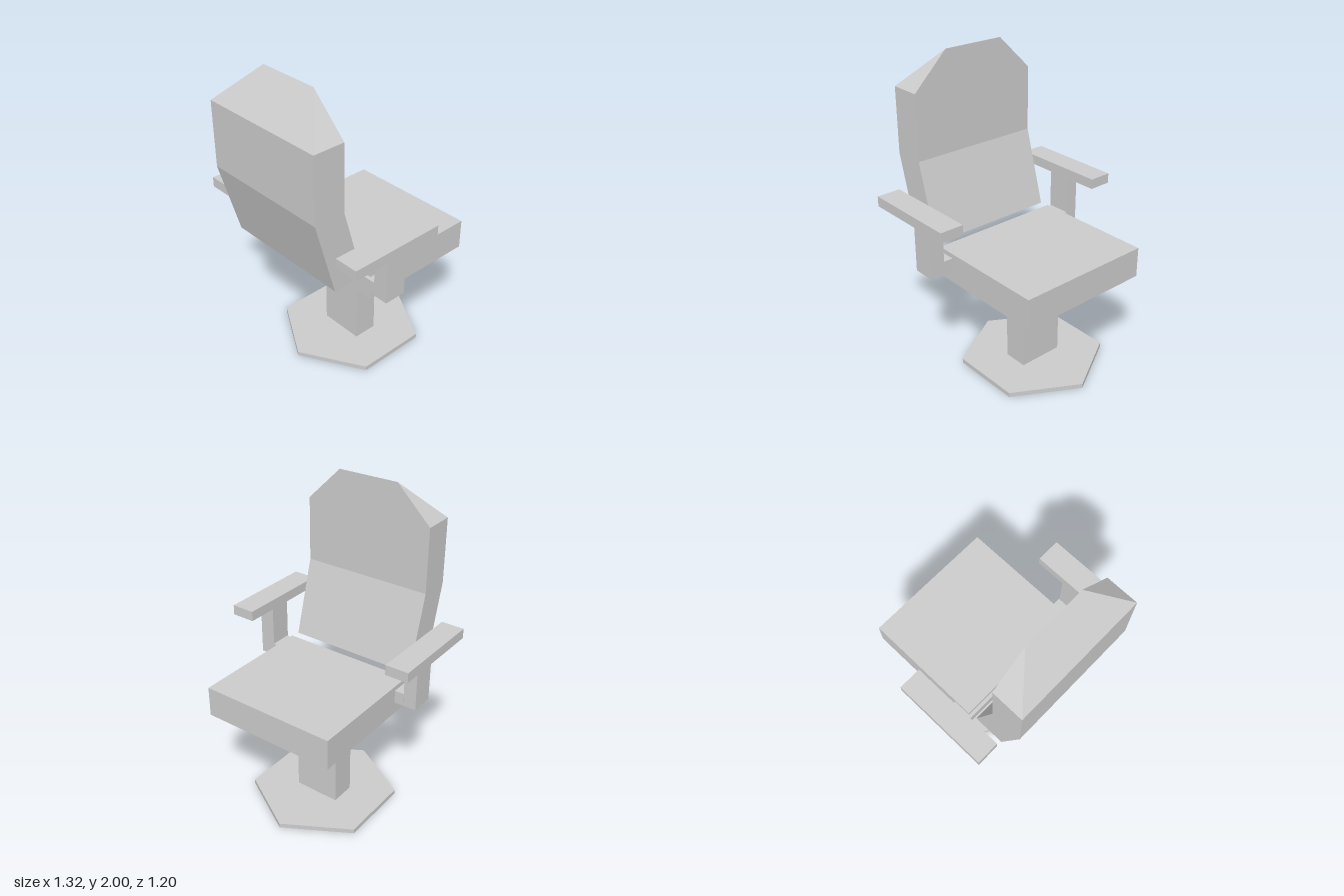
import * as THREE from 'three';

const material = new THREE.MeshStandardMaterial({ color: 0xcccccc, flatShading: true, side: THREE.DoubleSide });

// Box given by its limits on each axis
function box(name, [x0, x1], [y0, y1], [z0, z1]) {
  const mesh = new THREE.Mesh(new THREE.BoxGeometry(x1 - x0, y1 - y0, z1 - z0), material);
  mesh.position.set((x0 + x1) / 2, (y0 + y1) / 2, (z0 + z1) / 2);
  mesh.name = name;
  return mesh;
}

// Solid through four-cornered horizontal sections, from the bottom up
function loft(sections) {
  const positions = [];
  const rings = sections.map(({ y, x0, x1, z0, z1 }) =>
    [[x0, y, z1], [x1, y, z1], [x1, y, z0], [x0, y, z0]]);
  const quad = (a, b, c, d) => positions.push(...a, ...b, ...c, ...a, ...c, ...d);
  for (let i = 0; i < rings.length - 1; i++) {
    for (let k = 0; k < 4; k++) {
      const n = (k + 1) % 4;
      quad(rings[i][k], rings[i][n], rings[i + 1][n], rings[i + 1][k]);
    }
  }
  quad(...[...rings[0]].reverse());
  const geometry = new THREE.BufferGeometry();
  geometry.setAttribute('position', new THREE.Float32BufferAttribute(positions, 3));
  geometry.computeVertexNormals();
  return geometry;
}

export function createModel() {
  const chair = new THREE.Group();
  chair.name = 'swivelChair';

  // Hexagonal foot plate, with a rectangular opening under the hollow column
  const plate = new THREE.Shape();
  for (let i = 0; i < 6; i++) {
    const a = Math.PI / 2 + (i * Math.PI) / 3;
    const x = -0.05 + 0.465 * Math.cos(a), y = 0.1 + 0.465 * Math.sin(a);
    if (i === 0) plate.moveTo(x, y);
    else plate.lineTo(x, y);
  }
  plate.closePath();
  const opening = [[-0.2, 0.02], [-0.2, 0.18], [0.1, 0.18], [0.1, 0.02]];
  plate.holes.push(new THREE.Path(opening.map(([x, y]) => new THREE.Vector2(x, y))));
  const baseGeometry = new THREE.ExtrudeGeometry(plate, { depth: 0.03, bevelEnabled: false });
  baseGeometry.rotateX(-Math.PI / 2);
  const base = new THREE.Mesh(baseGeometry, material);
  base.name = 'base';
  chair.add(base);

  // Hollow rectangular column
  const columnGeometry = new THREE.CylinderGeometry(Math.SQRT1_2, Math.SQRT1_2, 1, 4, 1, true);
  columnGeometry.rotateY(Math.PI / 4).scale(0.3, 0.64, 0.16);
  const column = new THREE.Mesh(columnGeometry, material);
  column.position.set(-0.05, 0.35, -0.1);
  column.name = 'column';
  chair.add(column);

  chair.add(box('seat', [-0.45, 0.44], [0.67, 0.865], [-0.6, 0.2]));

  // Backrest: leaning lower half, upright upper half, wedge-shaped top
  const backrest = new THREE.Mesh(loft([
    { y: 0.865, x0: -0.44, x1: 0.43, z0: 0.255, z1: 0.465 },
    { y: 1.355, x0: -0.44, x1: 0.43, z0: 0.395, z1: 0.6 },
    { y: 1.775, x0: -0.44, x1: 0.43, z0: 0.395, z1: 0.6 },
    { y: 2, x0: -0.21, x1: 0.2, z0: 0.395, z1: 0.395 },
  ]), material);
  backrest.name = 'backrest';
  chair.add(backrest);

  // Arm frame: crossbar through the seat, two uprights and pads
  chair.add(
    box('armCrossbar', [-0.51, 0.5], [0.75, 0.835], [0.08, 0.223]),
    box('leftArmUpright', [0.5, 0.6], [0.75, 1.09], [0.083, 0.228]),
    box('rightArmUpright', [-0.595, -0.51], [0.75, 1.08], [0.083, 0.237]),
    box('leftArmPad', [0.5, 0.655], [1.09, 1.155], [-0.115, 0.52]),
    box('rightArmPad', [-0.66, -0.51], [1.08, 1.145], [-0.138, 0.497]),
  );
  return chair;
}
